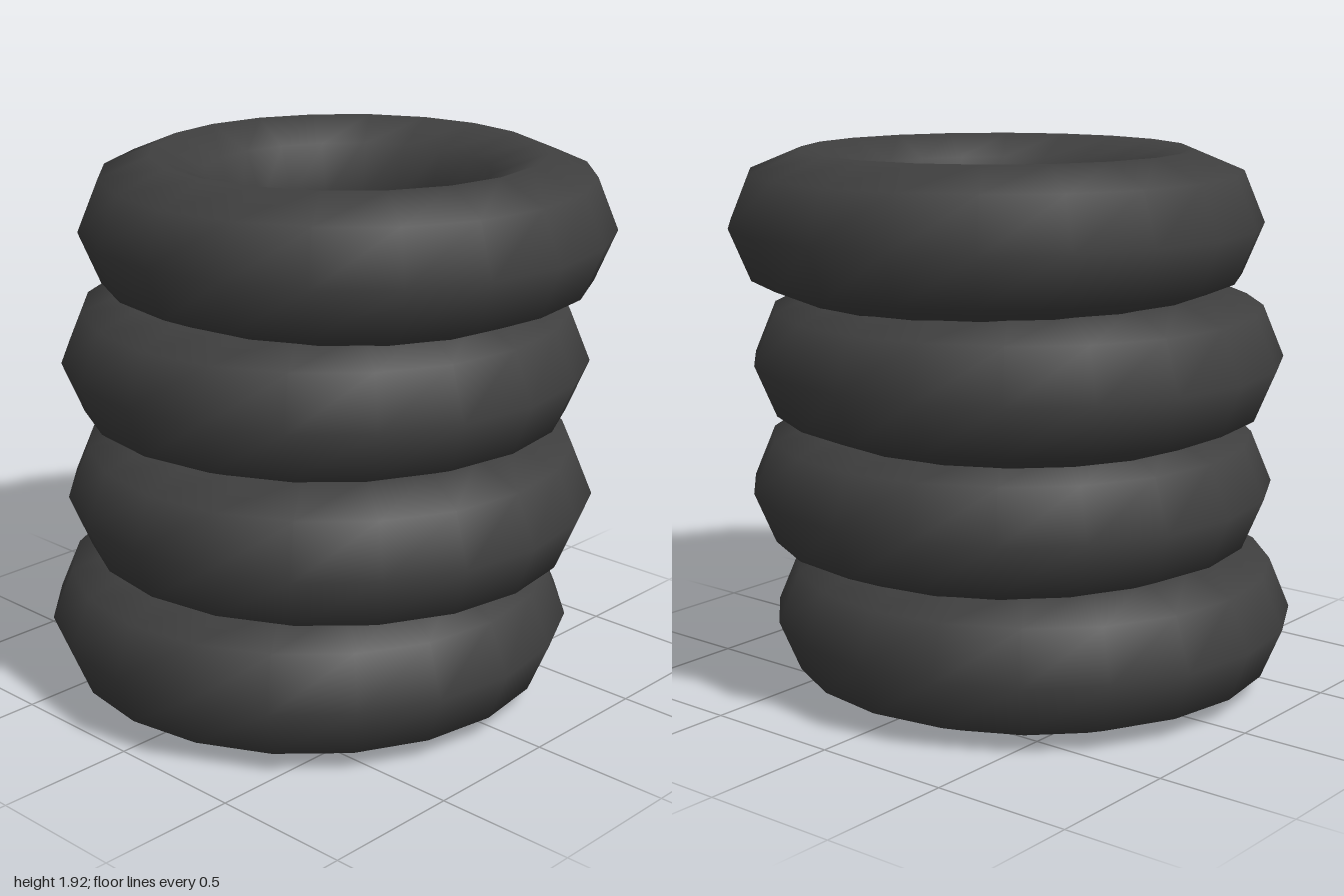
import * as THREE from 'three';

export function createModel() {
  const group = new THREE.Group();
  group.name = 'tyreStack';

  const rubber = new THREE.MeshStandardMaterial({ color: 0x404040 });
  rubber.name = 'dark rubber';

  // One low-poly ring with smooth normals, laid flat
  const tubeRadius = 0.255;
  const ring = new THREE.TorusGeometry(0.68, tubeRadius, 8, 20);
  ring.rotateX(-Math.PI / 2);

  // Rings overlap slightly, zigzag in x and drift towards the back
  for (let i = 0; i < 4; i++) {
    const tyre = new THREE.Mesh(ring, rubber);
    tyre.name = `tyre${i + 1}`;
    tyre.position.set(i % 2 ? 0.032 : -0.032, tubeRadius + i * 0.47, 0.065 - i * 0.0433);
    group.add(tyre);
  }
  return group;
}
